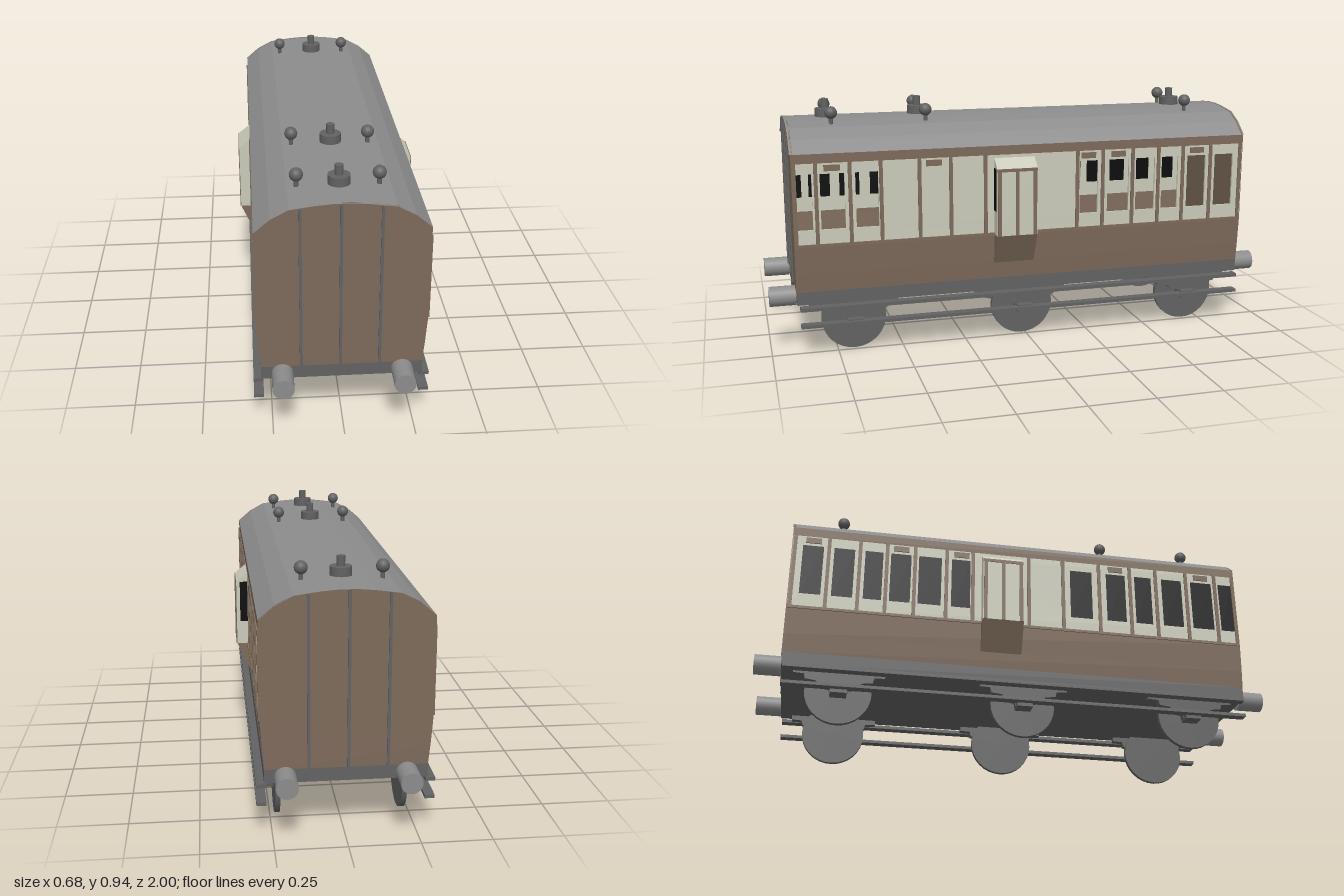
import * as THREE from 'three';

const mat = (name, color, side = THREE.FrontSide) => {
  const m = new THREE.MeshStandardMaterial({ color, side });
  m.name = name;
  return m;
};

export function createModel() {
  const model = new THREE.Group();
  model.name = 'railwayCarriage';
  const brown = mat('brown', 0x7d6a5a, THREE.DoubleSide);
  const cream = mat('cream', 0xcacaba, THREE.DoubleSide);
  const roofGrey = mat('roofGrey', 0x8c8c8c, THREE.DoubleSide);
  const darkGrey = mat('darkGrey', 0x626262);
  const black = mat('black', 0x0a0a0a);

  const CX = -0.005, END = 0.9;

  const add = (name, geo, m, x = 0, y = 0, z = 0) => {
    const mesh = new THREE.Mesh(geo, m);
    mesh.name = name;
    mesh.position.set(x, y, z);
    model.add(mesh);
    return mesh;
  };
  // Box given by its limits on each axis
  const box = (name, m, x0, x1, y0, y1, z0, z1) =>
    add(name, new THREE.BoxGeometry(Math.abs(x1 - x0), y1 - y0, Math.abs(z1 - z0)), m,
      (x0 + x1) / 2, (y0 + y1) / 2, (z0 + z1) / 2);
  // Strip of flat panels following [x, y] points, running along z
  const band = (name, m, pts, z0 = -END, z1 = END) => {
    const v = [];
    for (let i = 0; i < pts.length - 1; i++) {
      const [a, b] = pts[i], [c, d] = pts[i + 1];
      v.push(a, b, z0, a, b, z1, c, d, z1, a, b, z0, c, d, z1, c, d, z0);
    }
    const g = new THREE.BufferGeometry();
    g.setAttribute('position', new THREE.Float32BufferAttribute(v, 3));
    g.computeVertexNormals();
    return add(name, g, m);
  };
  // Shape drawn in (z, y), extruded from x towards -x
  const sidePlate = (name, m, shape, x, depth) => {
    const g = new THREE.ExtrudeGeometry(shape, { depth, bevelEnabled: false });
    g.rotateY(-Math.PI / 2);
    return add(name, g, m, x);
  };
  const poly = (pts) => new THREE.Shape(pts.map(([a, b]) => new THREE.Vector2(a, b)));
  const rect = (a, b, c, d) => [[a, c], [b, c], [b, d], [a, d]];

  // Body cross-section, right half, relative to the centre line
  const lower = [[0.28, 0.25], [0.287, 0.32], [0.295, 0.43]];
  const upper = [[0.295, 0.74], [0.295, 0.775]];
  const roofHalf = [[0.295, 0.775], [0.24, 0.822], [0.178, 0.855], [0.09, 0.867], [0.03, 0.872]];
  const at = (pts, s) => pts.map(([x, y]) => [CX + s * x, y]);
  const roofLine = [...at(roofHalf, 1), ...at(roofHalf, -1).reverse()];

  // Roof, end walls, floor
  band('roof', roofGrey, roofLine, -0.906, 0.906);
  const endShape = poly([...at(lower, 1), ...roofLine, ...at(lower, -1).reverse()]);
  for (const s of [1, -1]) {
    add('endWall', new THREE.ExtrudeGeometry(endShape, { depth: 0.008, bevelEnabled: false }),
      brown, 0, 0, s > 0 ? END - 0.006 : -END - 0.002);
    for (const [x, top] of [[-0.147, 0.858], [-0.011, 0.87], [0.125, 0.858]])
      box('endStrip', darkGrey, x - 0.005, x + 0.005, 0.25, top, s * 0.9, s * 0.908);
  }
  box('floor', roofGrey, -0.283, 0.273, 0.25, 0.256, -0.893, 0.893);

  // Side walls: brown below, cream band with window openings, brown cornice
  const rear = [[-0.86, -0.78], [-0.74, -0.66], [-0.62, -0.55], [-0.52, -0.44], [-0.41, -0.32], [-0.28, -0.205]];
  const front = [[0.585, 0.67], [0.71, 0.80], [0.83, 0.89]];
  const sides = [
    { s: 1, windows: [...rear, ...front], glazed: false, bay: [-0.02, 0.14], bayWindow: true,
      beads: [-0.89, -0.76, -0.64, -0.535, -0.425, -0.3, -0.195, 0.175, 0.31, 0.43, 0.575, 0.69, 0.815, 0.893],
      vents: [-0.7, -0.365, -0.24, 0.375, 0.755] },
    { s: -1, windows: [...rear, [0.2, 0.29], [0.35, 0.43], [0.47, 0.54], ...front], glazed: true,
      bay: [-0.16, 0], bayWindow: false,
      beads: [-0.89, -0.76, -0.64, -0.535, -0.425, -0.3, -0.195, 0.03, 0.17, 0.32, 0.45, 0.56, 0.69, 0.815, 0.893],
      vents: [-0.82, -0.48, -0.24, 0.39, 0.755] },
  ];
  for (const { s, windows, glazed, bay, bayWindow, beads, vents } of sides) {
    const wx = CX + s * 0.295;
    band('lowerSide', brown, at(lower, s));
    band('cornice', brown, at(upper, s));
    const wall = poly(rect(-END, END, 0.43, 0.74));
    for (const [a, b] of windows) wall.holes.push(poly(rect(a, b, 0.49, 0.70)));
    sidePlate('windowBand', cream, wall, s > 0 ? wx : wx + 0.008, 0.008);
    if (glazed)
      for (const [a, b] of windows)
        box('windowGlass', black, wx + 0.001, wx + 0.006, 0.49, 0.70, a, b);
    for (const z of beads)
      box('bead', brown, wx, wx + s * 0.004, 0.43, 0.74, z - 0.007, z + 0.007);
    for (const z of vents)
      box('doorVent', brown, wx, wx + s * 0.004, 0.71, 0.733, z - 0.03, z + 0.03);
    box('waistBead', brown, wx, wx + s * 0.004, 0.425, 0.436, -END, END);

    // Projecting lookout bay
    const [z0, z1] = bay, ox = wx + s * 0.044;
    band('bayTop', cream, [[wx, 0.728], [ox, 0.692]], z0, z1);
    band('bayFace', cream, [[ox, 0.692], [ox, 0.43]], z0, z1);
    band('bayUnderside', brown, [[ox, 0.43], [CX + s * 0.286, 0.312]], z0, z1);
    const cheek = new THREE.ShapeGeometry(poly([[wx, 0.43], [ox, 0.43], [ox, 0.692], [wx, 0.728]]));
    const foot = new THREE.ShapeGeometry(poly([[wx, 0.43], [ox, 0.43], [CX + s * 0.286, 0.312]]));
    for (const z of bay) {
      add('bayCheek', cheek, cream, 0, 0, z);
      add('bayFoot', foot, brown, 0, 0, z);
      if (bayWindow)
        box('bayWindow', black, wx, wx + 0.03, 0.525, 0.69, z - 0.002, z + 0.002);
    }
    for (const t of [0.06, 0.5, 0.94]) {
      const z = z0 + t * (z1 - z0);
      box('bayBead', brown, ox, ox + s * 0.003, 0.43, 0.69, z - 0.007, z + 0.007);
    }
    box('bayHead', brown, ox, ox + s * 0.003, 0.68, 0.692, z0, z1);
  }

  // Underframe and buffers
  box('underframe', darkGrey, -0.287, 0.277, 0.2, 0.25, -END, END);
  for (const s of [1, -1])
    for (const x of [-0.213, 0.205]) {
      const g = new THREE.CylinderGeometry(0.038, 0.038, 0.1, 20).rotateX(Math.PI / 2);
      add('buffer', g, roofGrey, x, 0.221, s * 0.95);
    }

  // Wheels, springs, axle boxes and step boards
  const half = [[0.17, 0.2], [0.17, 0.182], [0.13, 0.18], [0.125, 0.16], [0.085, 0.155], [0.065, 0.135], [0.035, 0.13], [0.03, 0.102]];
  const hanger = poly([...half, ...half.map(([z, y]) => [-z, y]).reverse()]);
  for (const s of [1, -1]) {
    for (const z of [0.685, 0.015, -0.685]) {
      const g = new THREE.CylinderGeometry(0.124, 0.124, 0.018, 32).rotateZ(Math.PI / 2);
      add('wheel', g, darkGrey, s * 0.225, 0.124, z);
      sidePlate('springHanger', darkGrey, hanger, s > 0 ? 0.26 : -0.234, 0.026).position.z = z;
      box('axleBox', darkGrey, s * 0.255, s * 0.289, 0.102, 0.132, z - 0.03, z + 0.03);
    }
    const inner = CX + s * 0.274, outer = CX + s * 0.309;
    box('upperStep', darkGrey, inner, outer, 0.181, 0.194, -0.895, 0.89);
    box('lowerStep', darkGrey, inner, outer, 0.115, 0.127, -0.895, 0.89);
  }

  // Roof ventilators and lamps
  for (const z of [0.745, 0.383, -0.7]) {
    add('ventBase', new THREE.CylinderGeometry(0.039, 0.039, 0.04, 20), darkGrey, -0.006, 0.884, z);
    add('ventCap', new THREE.CylinderGeometry(0.015, 0.015, 0.04, 14), darkGrey, -0.006, 0.92, z);
    for (const x of [-0.15, 0.132]) {
      add('lampStem', new THREE.CylinderGeometry(0.008, 0.008, 0.04, 10), darkGrey, x, 0.87, z - 0.009);
      add('lampGlobe', new THREE.SphereGeometry(0.024, 18, 12), darkGrey, x, 0.903, z - 0.009);
    }
  }
  return model;
}
